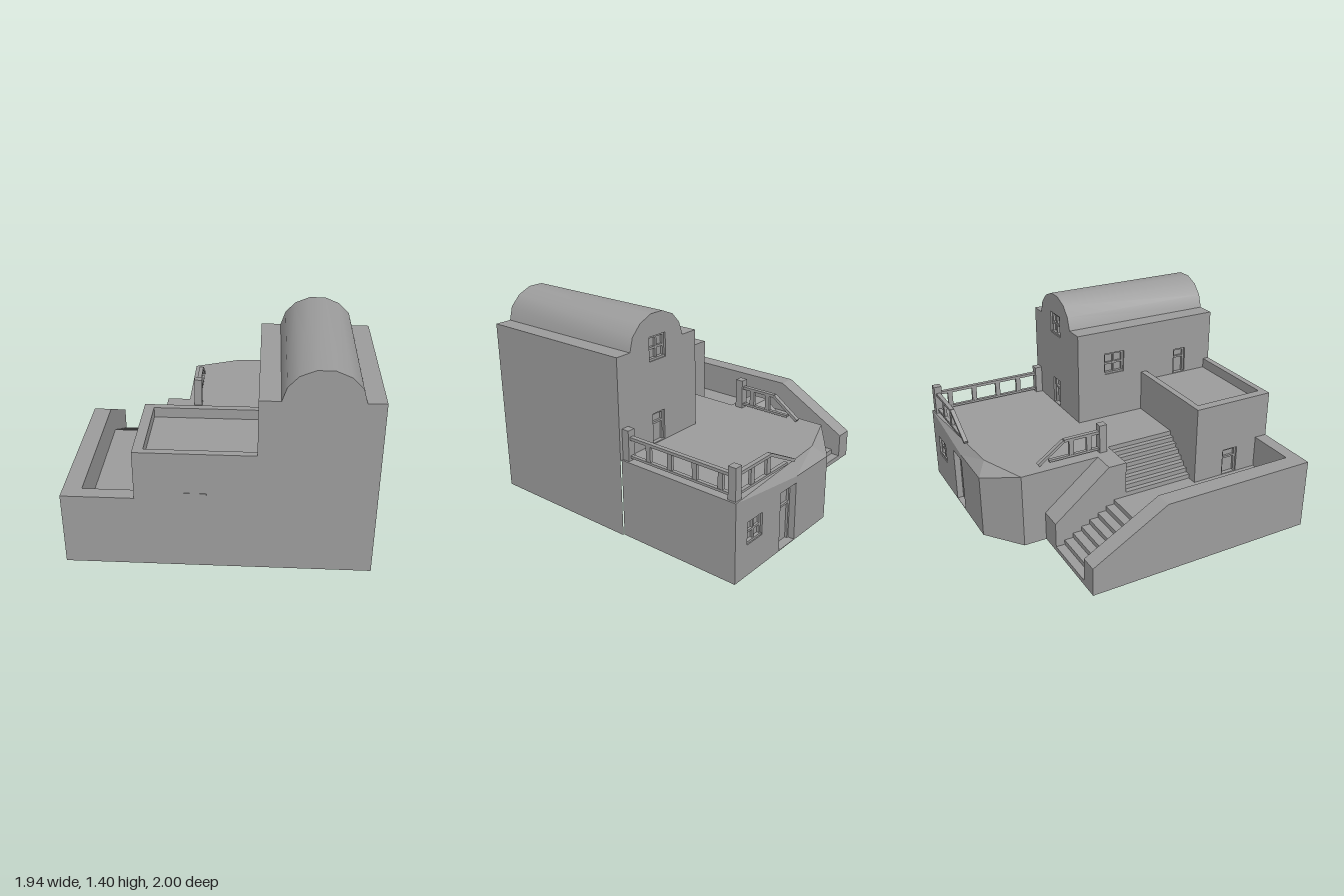
import * as THREE from 'three';

const plaster = new THREE.MeshStandardMaterial({ color: 0x9c9c9c, side: THREE.DoubleSide });
plaster.name = 'grey plaster';

function add(parent, name, geometry) {
  const mesh = new THREE.Mesh(geometry, plaster);
  mesh.name = name;
  parent.add(mesh);
  return mesh;
}

function box(parent, name, size, pos) {
  add(parent, name, new THREE.BoxGeometry(...size)).position.set(...pos);
}

// Flat faces from lists of 3 or 4 corners, counter-clockwise from outside.
function faces(parent, name, list) {
  const pos = [];
  for (const f of list) {
    for (let i = 1; i < f.length - 1; i++) pos.push(...f[0], ...f[i], ...f[i + 1]);
  }
  const g = new THREE.BufferGeometry();
  g.setAttribute('position', new THREE.Float32BufferAttribute(pos, 3));
  g.computeVertexNormals();
  return add(parent, name, g);
}

const toShape = (pts) => new THREE.Shape(pts.map(([x, y]) => new THREE.Vector2(x, y)));
const rect = (a, b, c, d) => [[a, c], [b, c], [b, d], [a, d]];

// Horizontal face from (x, z) corners.
function level(parent, name, y, pts, hole) {
  const s = toShape(pts.map(([x, z]) => [x, -z]));
  if (hole) s.holes.push(toShape(hole.map(([x, z]) => [x, -z])));
  add(parent, name, new THREE.ShapeGeometry(s).rotateX(-Math.PI / 2)).position.y = y;
}

// Recess with frame and glazing bars, or a door leaf with rails.
function opening(parent, { kind, w, h, d = 0.03 }, u, v) {
  const g = new THREE.Group();
  g.name = kind;
  g.position.set(u, v, 0);
  parent.add(g);
  const a = w / 2, b = h / 2;
  faces(g, 'recess', [
    [[-a, -b, -d], [a, -b, -d], [a, b, -d], [-a, b, -d]],
    [[-a, -b, 0], [a, -b, 0], [a, -b, -d], [-a, -b, -d]],
    [[-a, b, -d], [a, b, -d], [a, b, 0], [-a, b, 0]],
    [[-a, -b, 0], [-a, -b, -d], [-a, b, -d], [-a, b, 0]],
    [[a, -b, -d], [a, -b, 0], [a, b, 0], [a, b, -d]],
  ]);
  const t = 0.014, z = -d + 0.008;
  for (const s of [-1, 1]) box(g, 'jamb', [t, h, 0.016], [s * (a - t / 2), 0, z]);
  box(g, 'head', [w, t, 0.016], [0, b - t / 2, z]);
  if (kind === 'window') {
    box(g, 'sill', [w + 0.01, t, 0.03], [0, -b + t / 2, z]);
    box(g, 'mullion', [t, h, 0.016], [0, 0, z]);
    box(g, 'transom', [w, t, 0.016], [0, 0, z]);
  } else {
    box(g, 'rail', [w, t, 0.016], [0, h * 0.15, z]);
  }
}

// Upright face; points and openings are in (world x or z, y).
const FACING = { '+z': [0, 1], '-z': [Math.PI, -1], '-x': [-Math.PI / 2, 1], '+x': [Math.PI / 2, -1] };
function wall(parent, name, facing, at, pts, openings = []) {
  const [angle, sign] = FACING[facing];
  const s = toShape(pts.map(([u, v]) => [u * sign, v]));
  const group = new THREE.Group();
  group.name = name;
  for (const o of openings) {
    const u = o.u * sign, v = o.v;
    s.holes.push(toShape(rect(u - o.w / 2, u + o.w / 2, v - o.h / 2, v + o.h / 2)));
    opening(group, o, u, v);
  }
  add(group, name + 'Face', new THREE.ShapeGeometry(s));
  group.rotation.y = angle;
  group.position[facing[1]] = at;
  parent.add(group);
}

// Treads and risers; place(run, height, side) gives a corner.
function stairs(parent, name, n, place) {
  const list = [];
  for (let i = 0; i < n; i++) {
    const a = i / n, b = (i + 1) / n;
    list.push([place(a, a, 0), place(a, a, 1), place(a, b, 1), place(a, b, 0)]);
    list.push([place(a, b, 0), place(a, b, 1), place(b, b, 1), place(b, b, 0)]);
  }
  faces(parent, name, list);
}

// Railing along local +x: post, level rails, then a sloping end.
function railing(parent, name, levelEnd, slopeEnd, balusters) {
  const g = new THREE.Group();
  g.name = name;
  parent.add(g);
  box(g, 'post', [0.055, 0.205, 0.055], [0, 0.1025, 0]);
  box(g, 'topRail', [levelEnd, 0.02, 0.03], [levelEnd / 2, 0.15, 0]);
  const low = slopeEnd > levelEnd ? slopeEnd - 0.08 : levelEnd;
  box(g, 'bottomRail', [low, 0.016, 0.025], [low / 2, 0.026, 0]);
  for (const x of balusters) box(g, 'baluster', [0.035, 0.12, 0.02], [x, 0.09, 0]);
  if (slopeEnd > levelEnd) {
    const run = slopeEnd - levelEnd, drop = 0.135;
    const slope = add(g, 'slopingRail', new THREE.BoxGeometry(Math.hypot(run, drop), 0.02, 0.03));
    slope.position.set(levelEnd + run / 2, 0.15 - drop / 2, 0);
    slope.rotation.z = -Math.atan2(drop, run);
  }
  return g;
}

export function createModel() {
  const model = new THREE.Group();
  model.name = 'terracedHouse';
  const T = 0.53, C = 0.27, R = 0.76; // terrace, courtyard and low roof levels
  const vault = [[0.855, 1.2], [0.83, 1.29], [0.76, 1.36], [0.665, 1.4], [0.56, 1.4], [0.465, 1.36], [0.4, 1.29], [0.37, 1.2]];

  // Continuous front
  wall(model, 'frontWall', '+z', 1, [[-0.97, 0], [0.97, 0], [0.97, 1.2], ...vault,
    [0.24, 1.2], [0.24, 0.83], [-0.51, 0.83], [-0.51, 0.5], [-0.97, 0.5]]);
  box(model, 'frontWindowSill', [0.14, 0.012, 0.02], [-0.135, 0.545, 0.992]);
  box(model, 'frontWindowHead', [0.14, 0.012, 0.02], [-0.135, 0.69, 0.989]);
  box(model, 'frontWindowTransom', [0.14, 0.012, 0.02], [-0.135, 0.62, 0.989]);
  for (const x of [-0.2, -0.135, -0.07]) box(model, 'frontWindowBar', [0.012, 0.15, 0.02], [x, 0.617, 0.989]);

  // Tall vaulted house
  const tall = new THREE.Group();
  tall.name = 'tallHouse';
  model.add(tall);
  wall(tall, 'outerWall', '+x', 0.97, rect(-0.12, 1, 0, 1.2));
  wall(tall, 'gableWall', '-z', -0.12, [[0.24, T], [0.97, T], [0.97, 1.2], ...vault, [0.24, 1.2]], [
    { kind: 'window', u: 0.61, v: 1.175, w: 0.15, h: 0.16 },
    { kind: 'door', u: 0.61, v: 0.638, w: 0.11, h: 0.205 }]);
  wall(tall, 'innerWall', '-x', 0.24, rect(-0.12, 1, T, 1.2), [
    { kind: 'window', u: 0.17, v: 0.95, w: 0.16, h: 0.16 },
    { kind: 'door', u: 0.73, v: 0.86, w: 0.1, h: 0.19 }]);
  level(tall, 'roofLedge', 1.2, rect(0.24, 0.37, -0.12, 1));
  level(tall, 'roofLedge', 1.2, rect(0.855, 0.97, -0.12, 1));
  const roof = new THREE.BufferGeometry(), rp = [], ri = [];
  vault.forEach(([x, y], i) => {
    rp.push(x, y, 1, x, y, -0.12);
    const k = i * 2;
    if (i) ri.push(k - 2, k - 1, k, k - 1, k + 1, k);
  });
  roof.setAttribute('position', new THREE.Float32BufferAttribute(rp, 3));
  roof.setIndex(ri);
  roof.computeVertexNormals();
  add(tall, 'barrelRoof', roof);

  // Low house with parapet
  const low = new THREE.Group();
  low.name = 'lowHouse';
  model.add(low);
  wall(low, 'sideWall', '-x', -0.51, rect(0.4, 1, C, 0.83), [{ kind: 'door', u: 0.69, v: 0.37, w: 0.12, h: 0.19 }]);
  wall(low, 'sideFooting', '-x', -0.51, rect(0.91, 1, 0, C));
  wall(low, 'backWall', '-z', 0.4, rect(-0.51, 0.24, C, 0.83));
  level(low, 'parapetTop', 0.83, [[-0.51, 0.4], [0.24, 0.4], [0.24, 0.445], [-0.445, 0.445],
    [-0.445, 0.955], [0.24, 0.955], [0.24, 1], [-0.51, 1]]);
  wall(low, 'parapetInside', '+x', -0.445, rect(0.445, 0.955, R, 0.83));
  wall(low, 'parapetInside', '+z', 0.445, rect(-0.445, 0.24, R, 0.83));
  wall(low, 'parapetInside', '-z', 0.955, rect(-0.445, 0.24, R, 0.83));
  level(low, 'flatRoof', R, rect(-0.445, 0.24, 0.445, 0.955));

  // Courtyard and its walls
  const yard = new THREE.Group();
  yard.name = 'courtyard';
  model.add(yard);
  level(yard, 'floor', C, [[-0.85, -0.14], [-0.44, -0.14], [-0.44, 0.4], [-0.51, 0.4], [-0.51, 0.91], [-0.85, 0.91]]);
  wall(yard, 'outerWall', '-x', -0.97, [[-0.64, 0], [1, 0], [1, 0.5], [-0.11, 0.5], [-0.64, 0.2]]);
  wall(yard, 'innerWall', '+x', -0.85, [[-0.64, 0], [-0.64, 0.2], [-0.11, 0.5], [0.91, 0.5], [0.91, C], [-0.14, C]]);
  wall(yard, 'frontInnerWall', '-z', 0.91, rect(-0.85, -0.51, C, 0.5));
  wall(yard, 'wallEnd', '-z', -0.64, rect(-0.97, -0.85, 0, 0.2));
  level(yard, 'wallTop', 0.5, [[-0.97, -0.11], [-0.85, -0.11], [-0.85, 0.91], [-0.51, 0.91], [-0.51, 1], [-0.97, 1]]);
  faces(yard, 'slopingWallTop', [[[-0.97, 0.2, -0.64], [-0.97, 0.5, -0.11], [-0.85, 0.5, -0.11], [-0.85, 0.2, -0.64]]]);

  // Lower flight from the ground, upper flight to the terrace
  stairs(model, 'lowerStairs', 8, (r, h, s) => [s ? -0.85 : -0.44, C * h, -0.64 + 0.5 * r]);
  stairs(model, 'upperStairs', 8, (r, h, s) => [-0.44 + 0.29 * r, C + (T - C) * h, s ? 0.4 : -0.11]);
  wall(model, 'stairCheek', '-x', -0.44, [[-0.64, 0], [-0.14, C], [-0.11, C], [-0.11, T], [-0.24, T], [-0.64, 0.21]]);
  wall(model, 'stairCheekEnd', '-z', -0.64, rect(-0.44, -0.28, 0, 0.21));
  faces(model, 'stairCheekTop', [[[-0.44, 0.21, -0.64], [-0.44, T, -0.24], [-0.28, T, -0.24], [-0.28, 0.21, -0.64]]]);
  wall(model, 'upperStairSide', '+z', -0.11, [[-0.44, C], [-0.15, T], [-0.44, T]]);

  // Terrace over the lower room
  const terrace = new THREE.Group();
  terrace.name = 'terrace';
  model.add(terrace);
  level(terrace, 'floor', T, [[0.96, -1], [0.05, -0.93], [-0.28, -0.8], [-0.28, -0.24], [-0.44, -0.24], [-0.44, -0.11],
    [-0.15, -0.11], [-0.15, 0.4], [0.24, 0.4], [0.24, -0.12], [0.96, -0.12]]);
  wall(terrace, 'outerWall', '+x', 0.96, rect(-1, -0.12, 0, T));
  wall(terrace, 'backWall', '-z', -1, [[-0.03, 0], [0.96, 0], [0.96, T], [0.33, 0.45], [-0.03, 0.45]], [
    { kind: 'window', u: 0.77, v: 0.285, w: 0.15, h: 0.15 },
    { kind: 'door', u: 0.42, v: 0.205, w: 0.17, h: 0.4, d: 0.06 }]);
  wall(terrace, 'innerWall', '-x', -0.28, [[-0.8, 0], [-0.8, T], [-0.24, T], [-0.64, 0.21], [-0.64, 0]]);
  const A = [0.96, T, -1], B = [0.05, T, -0.93], D = [-0.28, T, -0.8], P = [0.33, 0.45, -1], Q = [-0.03, 0.45, -1];
  faces(terrace, 'slopingEdge', [[A, P, B], [P, Q, B], [Q, D, B]]);
  faces(terrace, 'angledWall', [[[-0.03, 0, -1], [-0.28, 0, -0.8], D, Q]]);

  // Railings
  const side = railing(terrace, 'sideRailing', 0.81, 0, [0.17, 0.34, 0.53, 0.72]);
  side.position.set(0.92, T, -0.145);
  side.rotation.y = Math.PI / 2;
  box(terrace, 'cornerPost', [0.055, 0.21, 0.055], [0.92, T + 0.105, -0.96]);
  const back = railing(terrace, 'backRailing', 0.34, 0.6, [0.16, 0.32]);
  back.position.set(0.92, T, -0.96);
  back.rotation.y = Math.PI;
  const stair = railing(terrace, 'stairRailing', 0.285, 0.475, [0.1, 0.23]);
  stair.position.set(-0.21, T, -0.175);
  stair.rotation.y = Math.PI / 2;

  return model;
}
